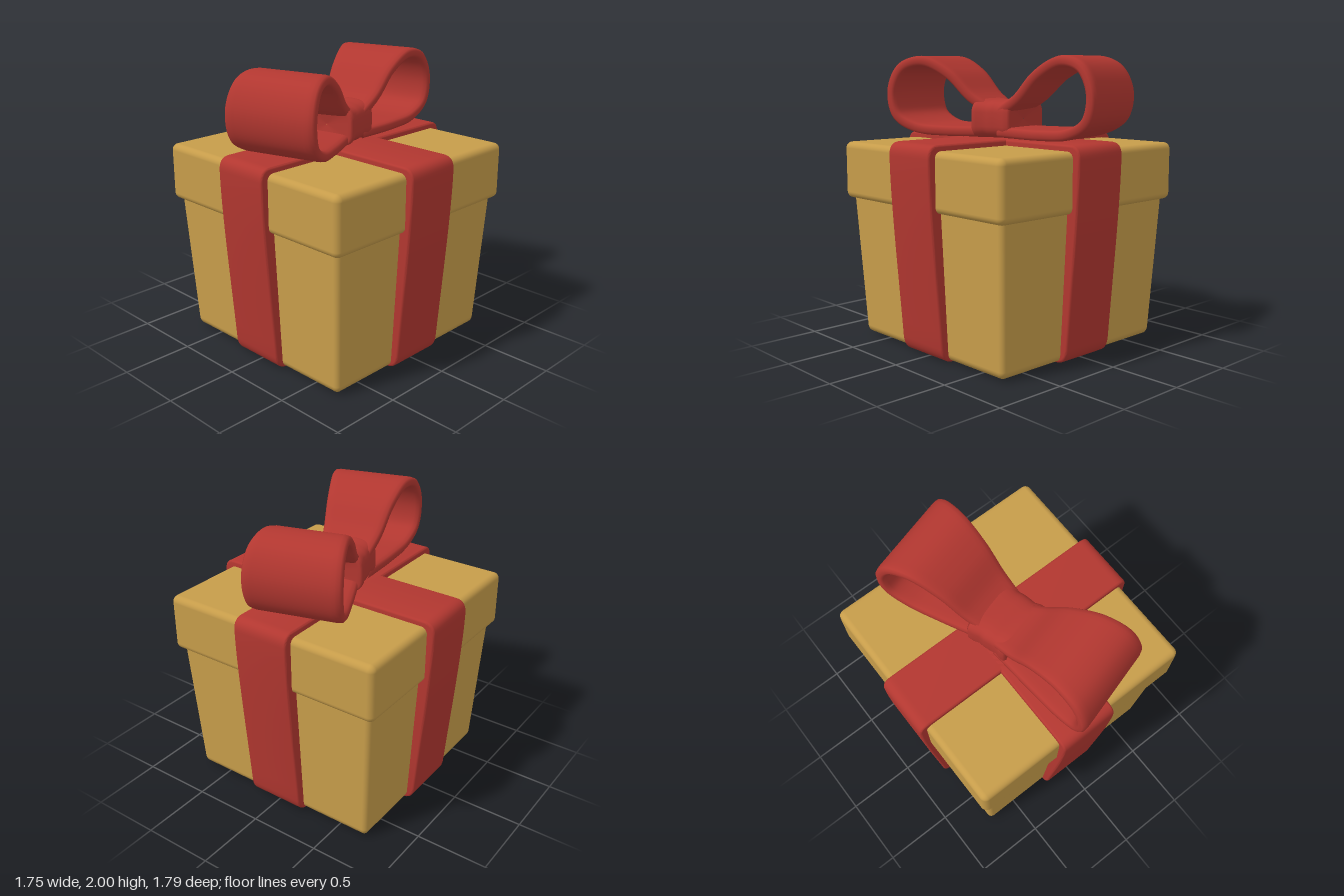
import * as THREE from 'three';
import { toCreasedNormals } from 'three/addons/utils/BufferGeometryUtils.js';
import { RoundedBoxGeometry } from 'three/addons/geometries/RoundedBoxGeometry.js';

const gold = new THREE.MeshStandardMaterial({ color: 0xc69c4a });
gold.name = 'gold card';
const red = new THREE.MeshStandardMaterial({ color: 0xb23730 });
red.name = 'red ribbon';

function part(name, geometry, material) {
  const mesh = new THREE.Mesh(geometry, material);
  mesh.name = name;
  return mesh;
}

// Skins a row of closed rings (arrays of Vector3), facing outwards
function loft(rings) {
  const n = rings[0].length;
  const points = rings.flat();
  const index = [];
  let volume = 0;
  const tri = (a, b, c) => {
    index.push(a, b, c);
    volume += points[a].dot(new THREE.Vector3().crossVectors(points[b], points[c]));
  };
  for (let i = 0; i < rings.length - 1; i++) {
    for (let j = 0; j < n; j++) {
      const a = i * n + j, b = i * n + (j + 1) % n;
      tri(a, b, a + n);
      tri(b, b + n, a + n);
    }
  }
  if (volume < 0) index.reverse();
  const geometry = new THREE.BufferGeometry().setFromPoints(points);
  geometry.setIndex(index);
  geometry.computeVertexNormals();
  return geometry;
}

// Box body, narrowing towards the bottom
function bodyGeometry() {
  const geometry = new RoundedBoxGeometry(2, 1.09, 2, 4, 0.05);
  geometry.translate(0, 0.557, 0);
  const p = geometry.attributes.position;
  for (let i = 0; i < p.count; i++) {
    const s = 0.725 + 0.052 * p.getY(i);
    p.setX(i, p.getX(i) * s);
    p.setZ(i, p.getZ(i) * s);
  }
  return geometry;
}

// Band around the whole box: its rounded, tapered outline given a width
function bandGeometry() {
  const s = new THREE.Shape();
  s.moveTo(-0.68, 0);
  s.lineTo(0.68, 0);
  s.quadraticCurveTo(0.77, 0, 0.783, 0.1);
  s.bezierCurveTo(0.81, 0.45, 0.872, 1.05, 0.873, 1.35);
  s.quadraticCurveTo(0.873, 1.44, 0.79, 1.44);
  s.lineTo(-0.79, 1.44);
  s.quadraticCurveTo(-0.873, 1.44, -0.873, 1.35);
  s.bezierCurveTo(-0.872, 1.05, -0.81, 0.45, -0.783, 0.1);
  s.quadraticCurveTo(-0.77, 0, -0.68, 0);
  const bevel = 0.015;
  const geometry = new THREE.ExtrudeGeometry(s, {
    depth: 0.42 - 2 * bevel, curveSegments: 10,
    bevelThickness: bevel, bevelSize: bevel, bevelOffset: -bevel, bevelSegments: 3,
  });
  geometry.translate(0, 0, -0.21 + bevel);
  return toCreasedNormals(geometry, 0.6);
}

// Bow loop: a thick strip that widens away from the knot, towards +z
function loopGeometry() {
  const path = new THREE.CatmullRomCurve3([
    [0.03, 1.61], [0.2, 1.715], [0.36, 1.87], [0.56, 1.963], [0.72, 1.92], [0.8, 1.76],
    [0.765, 1.58], [0.62, 1.495], [0.4, 1.475], [0.03, 1.48],
  ].map(([z, y]) => new THREE.Vector3(0, y, z)));
  const half = 0.036, steps = 64, rings = [];
  for (let i = 0; i <= steps; i++) {
    const c = path.getPoint(i / steps), t = path.getTangent(i / steps);
    const normal = new THREE.Vector3(0, t.z, -t.y);
    const k = Math.min(c.z / 0.8, 1);
    const right = 0.15 + 0.15 * k, left = -(0.19 + 0.16 * k);
    // rounded rectangular section: across, through
    const section = [
      [right, -0.4], [right, 0.4], [right - 0.012, 0.85], [right - 0.04, 1], [right - 0.07, 1],
      [left + 0.07, 1], [left + 0.04, 1], [left + 0.012, 0.85], [left, 0.4], [left, -0.4],
      [left + 0.012, -0.85], [left + 0.04, -1], [left + 0.07, -1],
      [right - 0.07, -1], [right - 0.04, -1], [right - 0.012, -0.85],
    ];
    rings.push(section.map(([x, h]) =>
      new THREE.Vector3(x, c.y, c.z).addScaledVector(normal, h * half)));
  }
  return loft(rings);
}

// Knot: a rounded band with soft creases and closed ends
function knotGeometry() {
  const profile = [[-0.13, 0.02], [-0.145, 0.8], [-0.155, 0.93], [-0.14, 1], [-0.1, 1],
    [-0.06, 0.95], [-0.02, 0.97], [0.03, 0.96], [0.07, 0.94], [0.11, 1],
    [0.14, 1], [0.155, 0.93], [0.145, 0.8], [0.13, 0.02]];
  const power = (v) => Math.sign(v) * Math.pow(Math.abs(v), 0.55);
  return loft(profile.map(([z, s]) => Array.from({ length: 40 }, (_, j) => {
    const a = j / 40 * Math.PI * 2;
    const x = 0.215 * s * power(Math.cos(a));
    return new THREE.Vector3(x, 1.565 + 0.14 * s * power(Math.sin(a)), z + 0.08 * x);
  })));
}

export function createModel() {
  const model = new THREE.Group();
  model.name = 'giftBox';

  model.add(part('boxBody', bodyGeometry(), gold));
  const lid = part('lid', new RoundedBoxGeometry(1.64, 0.4, 1.64, 4, 0.045), gold);
  lid.position.y = 1.2;
  model.add(lid);

  // Two crossing ribbon bands
  const band = bandGeometry();
  const sideBand = part('sideToSideRibbon', band, red);
  const frontBand = part('frontToBackRibbon', band, red);
  frontBand.rotation.y = Math.PI / 2;
  model.add(sideBand, frontBand);

  // Bow, turned slightly on the lid
  const bow = new THREE.Group();
  bow.name = 'bow';
  bow.rotation.y = 0.28;
  const loop = loopGeometry();
  const frontLoop = part('frontLoop', loop, red);
  const backLoop = part('backLoop', loop, red);
  backLoop.rotation.y = Math.PI;
  bow.add(frontLoop, backLoop, part('knot', knotGeometry(), red));
  model.add(bow);
  return model;
}
